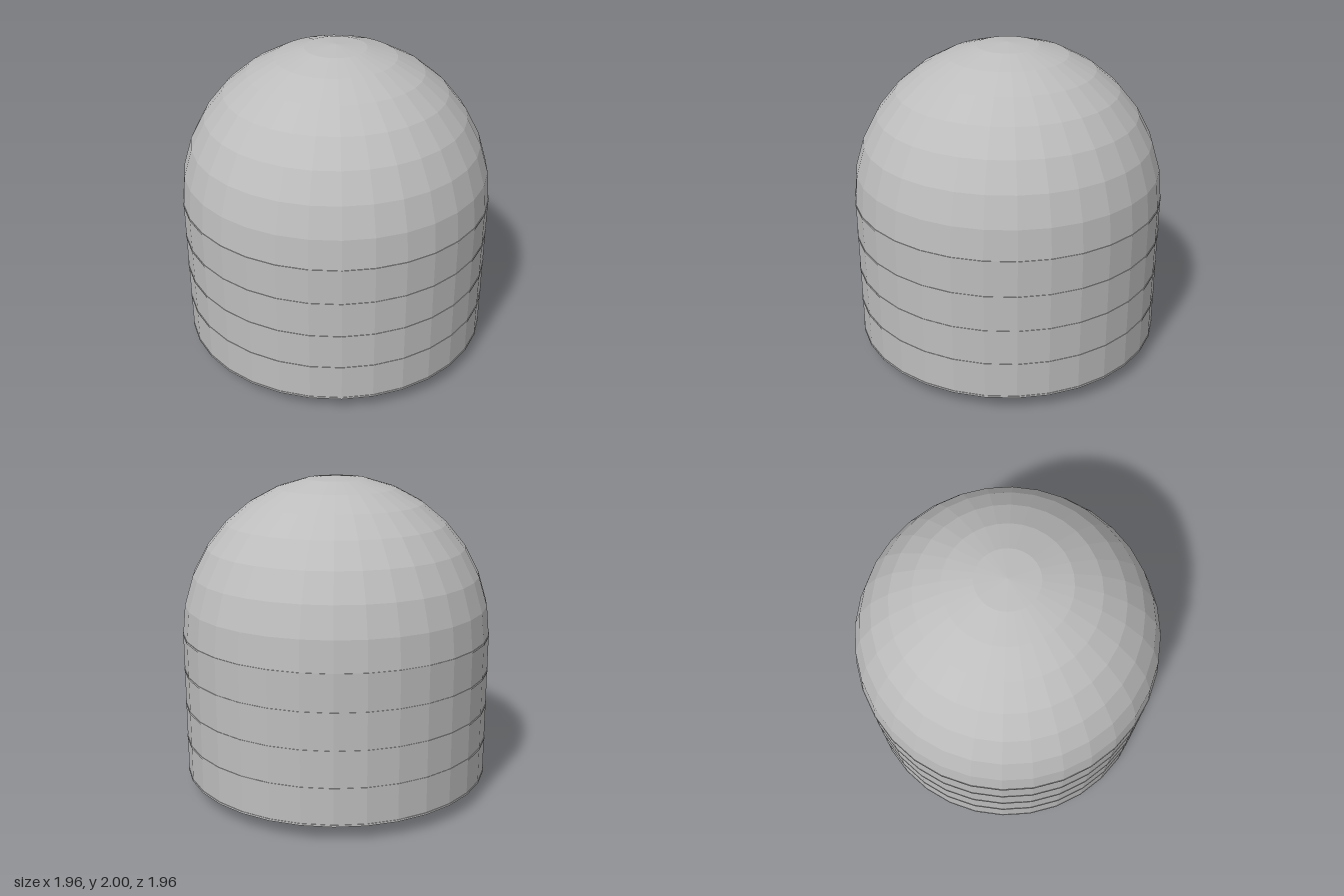
import * as THREE from 'three';

const SIDES = 32;

// Faceted solid of revolution, turned half a side so flats face the axes
function facetedLathe(profile) {
  const points = profile.map(([r, y]) => new THREE.Vector2(r, y));
  const geo = new THREE.LatheGeometry(points, SIDES, Math.PI / SIDES).toNonIndexed();
  geo.computeVertexNormals();
  return geo;
}

export function createModel() {
  const model = new THREE.Group();
  const grey = new THREE.MeshStandardMaterial({ color: 0xbdbdbd });
  grey.name = 'lightGrey';

  function add(name, geometry) {
    const mesh = new THREE.Mesh(geometry, grey);
    mesh.name = name;
    model.add(mesh);
  }

  const R = 0.98, baseY = 0.1, shoulderY = 1.02;

  // Straight drum with closed underside
  add('body', facetedLathe([[0, baseY], [R, baseY], [R, shoulderY]]));

  // Hemispherical cap in eight rings
  const arc = [];
  for (let i = 0; i <= 8; i++) {
    const a = (i / 8) * Math.PI / 2;
    arc.push([i === 8 ? 0 : R * Math.cos(a), shoulderY + R * Math.sin(a)]);
  }
  add('dome', facetedLathe(arc));

  // Fine seam bands around the drum
  for (let i = 0; i < 5; i++) {
    const y = 0.106 + i * 0.2285, h = 0.006, r = R + 0.003;
    add('seamBand' + (i + 1), facetedLathe([[R - 0.01, y - h], [r, y - h], [r, y + h], [R - 0.01, y + h]]));
  }

  // Round collar under the drum
  add('collar', facetedLathe([[0, 0.04], [0.196, 0.04], [0.196, baseY + 0.01]]));

  // Splined shaft end below the collar
  const spline = new THREE.Shape();
  const teeth = 24;
  for (let i = 0; i < teeth * 4; i++) {
    const a = (i / (teeth * 4)) * Math.PI * 2;
    const r = i % 4 < 2 ? 0.104 : 0.096;
    spline[i ? 'lineTo' : 'moveTo'](r * Math.cos(a), r * Math.sin(a));
  }
  spline.closePath();
  const shaft = new THREE.ExtrudeGeometry(spline, { depth: 0.05, bevelEnabled: false });
  shaft.rotateX(-Math.PI / 2);
  add('splinedShaft', shaft);

  return model;
}
